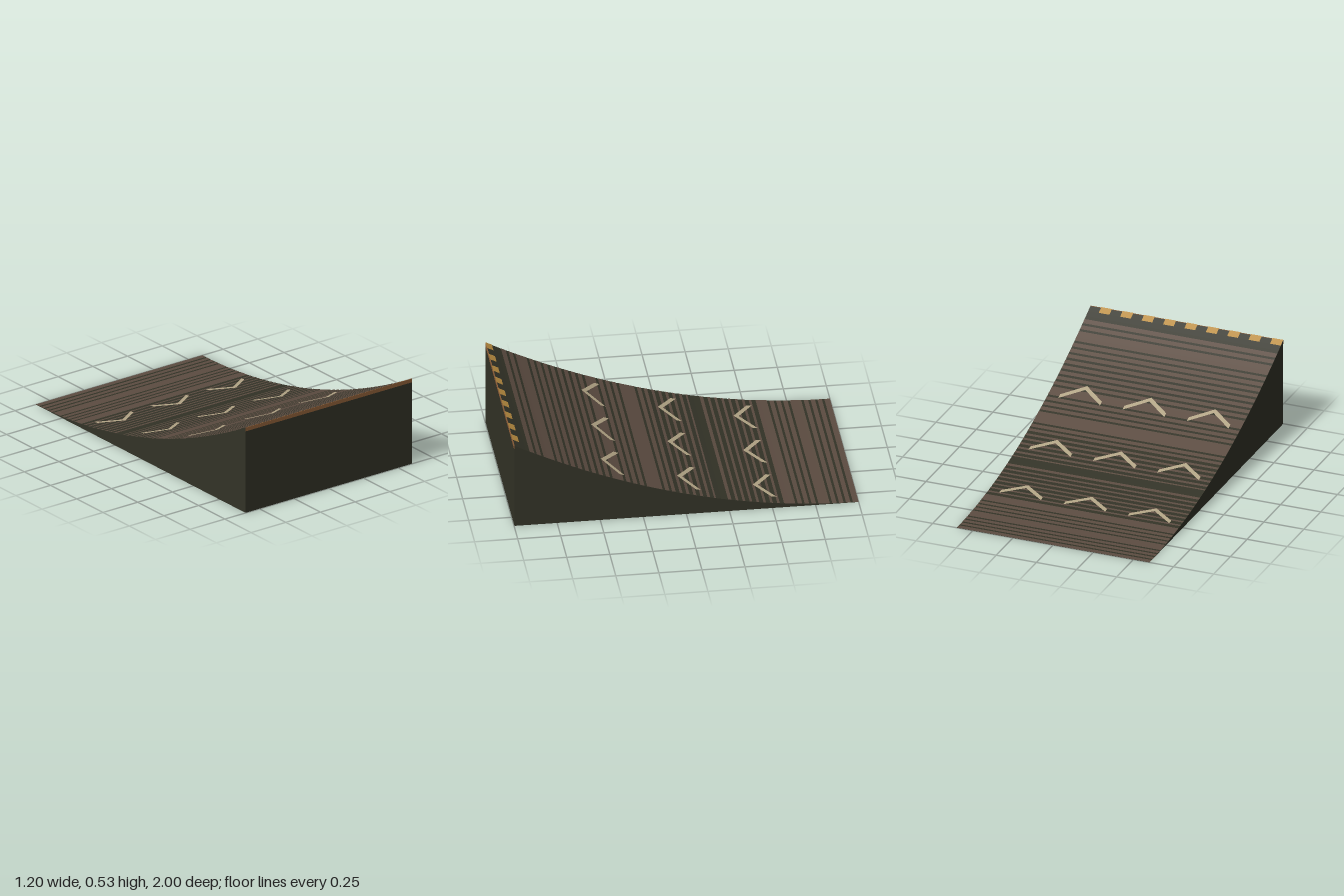
import * as THREE from 'three';
import { mergeGeometries } from 'three/addons/utils/BufferGeometryUtils.js';

const W = 1.2, H = 0.532;
const height = z => H * ((z + 1) / 2) ** 2;

const paint = (name, hex) => {
  const m = new THREE.MeshStandardMaterial({ color: hex });
  m.name = name;
  return m;
};

// A thin patch lying on the curved deck; place(u, v) gives [x, z], v runs towards the low end
function patch(lift, nu, nv, place) {
  const g = new THREE.PlaneGeometry(1, 1, nu, nv);
  const p = g.attributes.position;
  for (let i = 0; i < p.count; i++) {
    const [x, z] = place(p.getX(i) + 0.5, p.getY(i) + 0.5);
    p.setXYZ(i, x, height(z) + lift, z);
  }
  g.computeVertexNormals();
  return g;
}
const band = (x0, x1, z0, z1, lift) =>
  patch(lift, 1, 3, (u, v) => [x0 + (x1 - x0) * u, z1 + (z0 - z1) * v]);

export function createModel() {
  const group = new THREE.Group();
  const add = (name, geo, mat) => {
    const mesh = new THREE.Mesh(geo, mat);
    mesh.name = name;
    group.add(mesh);
    return mesh;
  };
  const dark = paint('dark olive', 0x333327);
  const brown = paint('worn brown', 0x5c4c41);
  const tan = paint('pale tan', 0xb3a586);
  const gold = paint('warning gold', 0xba8d40);
  const copper = paint('copper', 0x93623b);

  // Solid wedge with a concave top
  const profile = new THREE.Shape();
  profile.moveTo(-1, 0);
  profile.lineTo(0.998, 0);
  const N = 60;
  for (let i = 0; i < N; i++) {
    const z = 0.998 - 1.998 * i / N;
    profile.lineTo(z, height(z));
  }
  const body = new THREE.ExtrudeGeometry(profile, { depth: W, bevelEnabled: false });
  body.translate(0, 0, -W / 2).rotateY(-Math.PI / 2);
  add('rampBody', body, dark);

  // Brown slats: everything between the dark gaps [centre, width]
  const gaps = [];
  const run = (from, to, width) => {
    for (let z = from; z < to + 0.001; z += 0.04) gaps.push([z, width]);
  };
  run(-0.96, -0.84, 0.014);
  run(-0.76, -0.64, 0.014);
  run(-0.555, -0.275, 0.025);
  gaps.push([-0.207, 0.07]);
  run(-0.15, 0.05, 0.023);
  run(0.09, 0.16, 0.015);
  run(0.235, 0.355, 0.015);
  run(0.435, 0.635, 0.016);
  run(0.675, 0.755, 0.014);
  run(0.835, 0.875, 0.014);
  gaps.push([0.955, 0.09]);
  const slats = [];
  let start = -1;
  for (const [z, w] of gaps) {
    if (z - w / 2 > start) slats.push(band(-W / 2, W / 2, start, z - w / 2, 0.0012));
    start = z + w / 2;
  }
  add('deckSlats', mergeGeometries(slats), brown);

  // Three rows of chevrons
  const chevrons = [];
  for (const tip of [-0.413, 0.027, 0.47])
    for (const cx of [-0.4, 0, 0.4])
      chevrons.push(patch(0.0026, 12, 1, (u, v) =>
        [cx + (u - 0.5) * 0.26, tip - Math.abs(2 * u - 1) * 0.092 - v * 0.03]));
  add('chevrons', mergeGeometries(chevrons), tan);

  // Dashes along the top lip
  const dashes = [];
  for (let i = 0; i < 9; i++) {
    const x = -0.6 + i * W / 9;
    dashes.push(band(x, x + W / 18, 0.962, 1, 0.0026));
  }
  add('lipDashes', mergeGeometries(dashes), gold);

  // Copper edge on the front face
  const edge = add('frontEdge', new THREE.BoxGeometry(W, 0.023, 0.003), copper);
  edge.position.set(0, H - 0.0115, 0.9985);

  return group;
}
